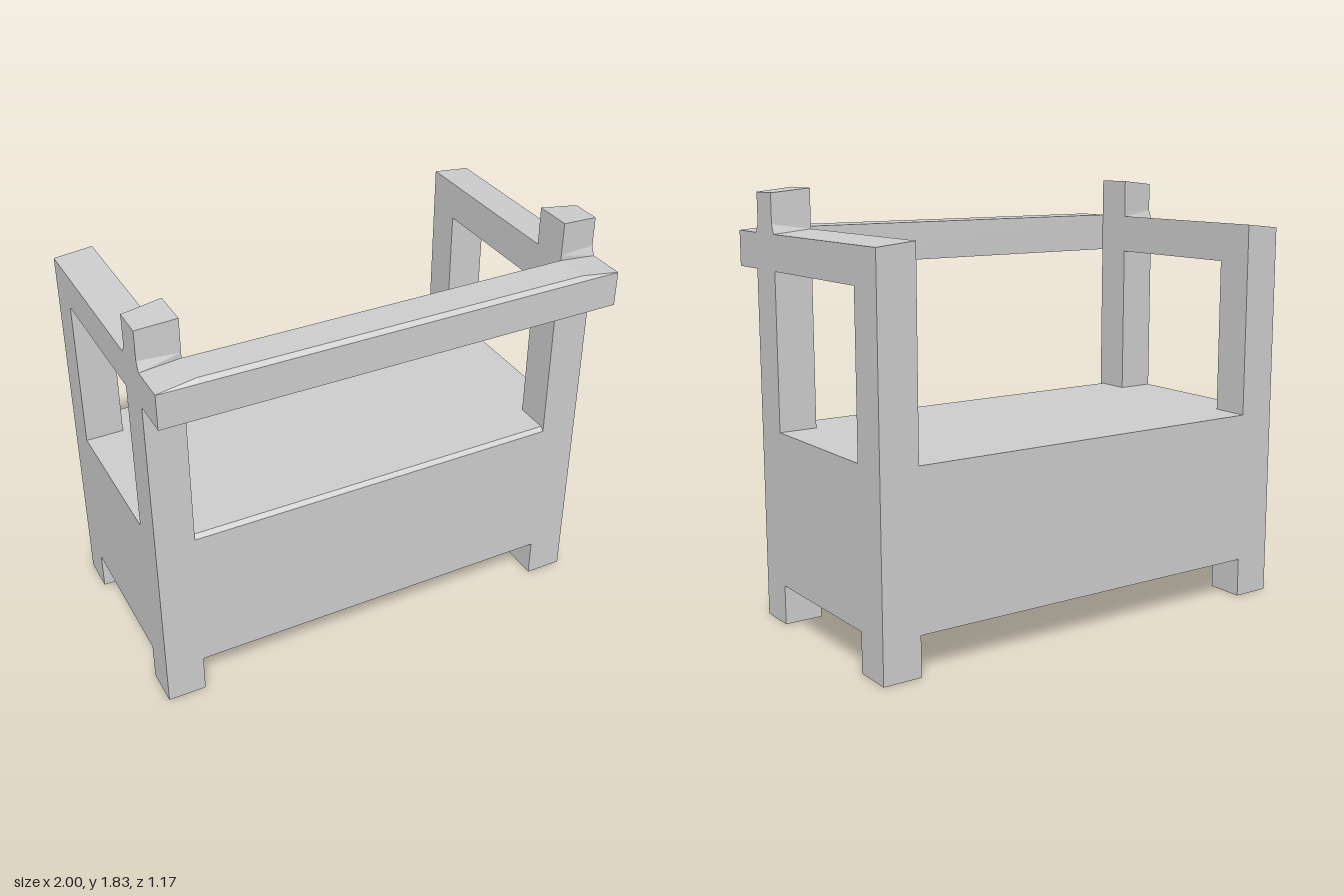
import * as THREE from 'three';

const HALF = 1, W = 0.167;              // half width, post thickness
const IN = HALF - W;                    // inner face of the side frames
const BACK = -0.583, FRONT = 0.417, RAIL = 0.583, C = 0.017;
const material = new THREE.MeshStandardMaterial({ color: 0xcccccc, flatShading: true });

// Side outline as [z, y], with an optional chamfered position [z, y] on the outer face
const outline = [
  [BACK, 0], [-0.417, 0], [-0.417, 0.17], [0.25, 0.17], [0.25, 0], [FRONT, 0],
  [FRONT, 1.5], [RAIL, 1.5],
  [RAIL, 1.65], [RAIL - C, 1.667, RAIL - 0.001, 1.651],
  [FRONT, 1.667, FRONT, 1.65], [FRONT - 0.0005, 1.69, FRONT - C, 1.69],
  [FRONT, 1.833, FRONT - C, 1.816], [0.25, 1.833, 0.25 + C, 1.816],
  [0.2505, 1.69, 0.25 + C, 1.69], [0.25, 1.667, 0.25, 1.65],
  [BACK, 1.667, BACK, 1.65],
];
const windowHole = [[-0.417, 0.833], [-0.417, 1.5], [0.25, 1.5], [0.25, 0.833]];
const toPoints = (list) => list.map(([z, y]) => new THREE.Vector2(z, y));

// Extrude a z-y profile from x = from toward -x
function extrudeProfile(profile, from, depth, hole) {
  const shape = new THREE.Shape(toPoints(profile));
  if (hole) shape.holes.push(new THREE.Path(toPoints(hole)));
  const geo = new THREE.ExtrudeGeometry(shape, { depth, bevelEnabled: false });
  const p = geo.attributes.position;
  // pull the outer-face corners inward to form the chamfers
  for (let i = 0; i < p.count; i++) {
    if (p.getZ(i) < depth - 1e-4) continue;
    const hit = profile.find(([z, y, cz]) => cz !== undefined &&
      Math.hypot(p.getX(i) - z, p.getY(i) - y) < 1e-4);
    if (hit) p.setXY(i, hit[2], hit[3]);
  }
  geo.rotateY(-Math.PI / 2).translate(from, 0, 0);
  geo.computeVertexNormals();
  return geo;
}

// Mirror across x = 0, swapping corners so faces still point outward
function mirrorX(source) {
  const geo = source.clone();
  const p = geo.attributes.position;
  for (let i = 0; i < p.count; i += 3) {
    const t = [0, 2, 1].map((k) => new THREE.Vector3().fromBufferAttribute(p, i + k));
    t.forEach((v, k) => p.setXYZ(i + k, -v.x, v.y, v.z));
  }
  geo.computeVertexNormals();
  return geo;
}

export function createModel() {
  const group = new THREE.Group();
  const add = (name, geo) => {
    const mesh = new THREE.Mesh(geo, material);
    mesh.name = name;
    group.add(mesh);
  };

  // Side frames: legs, end panel, window, arm rail and front post stub
  const side = extrudeProfile(outline, -IN, W, windowHole);
  add('rightSideFrame', side);
  add('leftSideFrame', mirrorX(side));

  // Solid base box with a chamfered front top edge
  add('base', extrudeProfile([
    [BACK, 0.17], [FRONT, 0.17], [FRONT, 0.816], [FRONT - C, 0.833], [BACK, 0.833],
  ], IN, 2 * IN));

  // Front rail spanning the two side frames
  add('frontRail', extrudeProfile([
    [FRONT, 1.5], [RAIL, 1.5], [RAIL, 1.65], [RAIL - C, 1.667], [FRONT, 1.667],
  ], IN, 2 * IN));

  return group;
}
